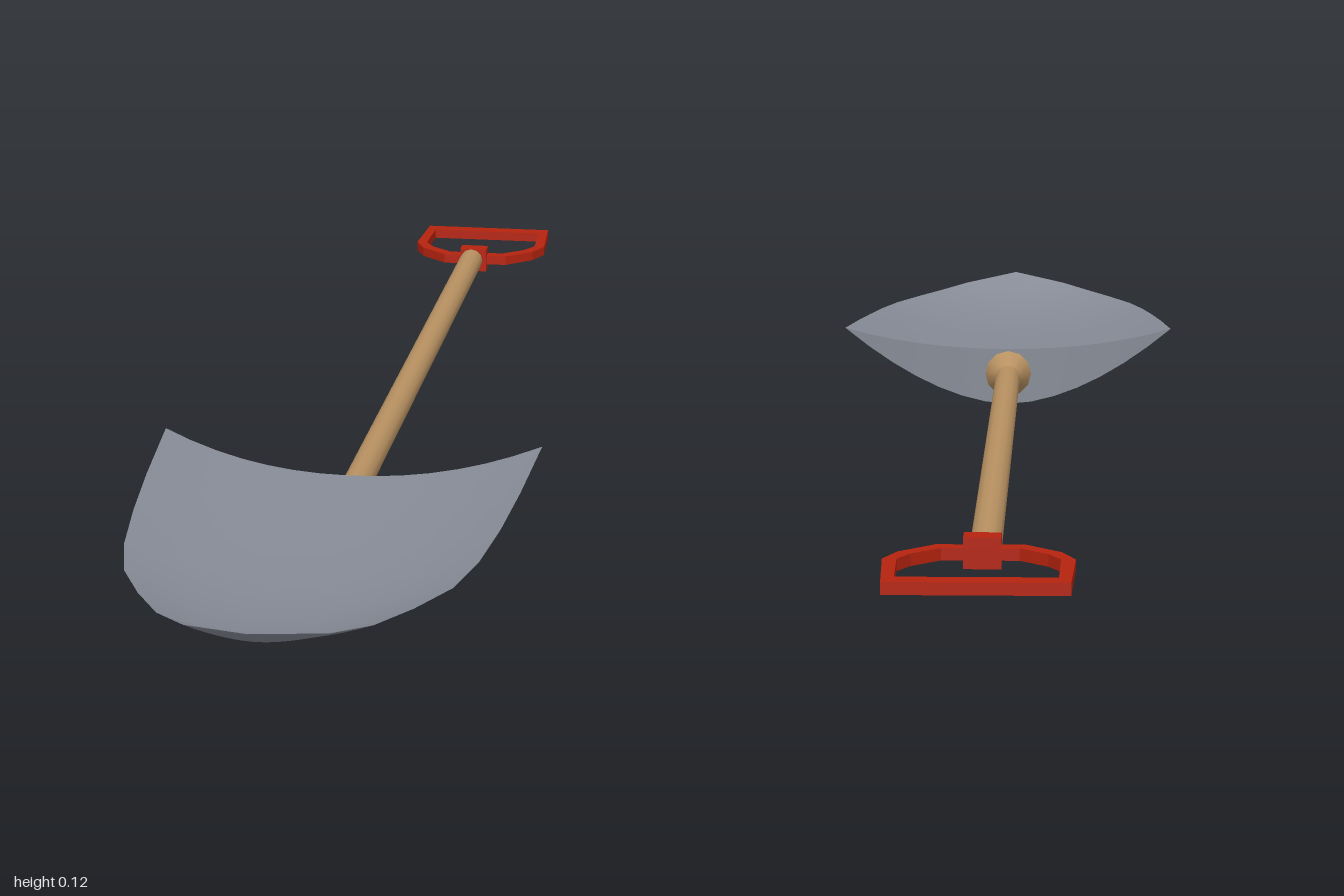
import * as THREE from 'three';

const steel = new THREE.MeshStandardMaterial({ name: 'steel grey', color: 0x868b96 });
const wood = new THREE.MeshStandardMaterial({ name: 'ash wood', color: 0xb99262 });
const red = new THREE.MeshStandardMaterial({ name: 'grip red', color: 0xb5230f });

function addMesh(parent, name, geometry, material) {
  const mesh = new THREE.Mesh(geometry, material);
  mesh.name = name;
  parent.add(mesh);
  return mesh;
}

// Smooth sheet of rows x columns; point(i, j) returns [x, y, z]
function sheet(rows, cols, point, flip = false) {
  const positions = [], index = [];
  for (let i = 0; i <= rows; i++) {
    for (let j = 0; j <= cols; j++) positions.push(...point(i, j));
  }
  for (let i = 0; i < rows; i++) {
    for (let j = 0; j < cols; j++) {
      const a = i * (cols + 1) + j, c = a + 1, b = a + cols + 1, d = b + 1;
      if (flip) index.push(a, c, b, c, d, b);
      else index.push(a, b, c, c, b, d);
    }
  }
  const geometry = new THREE.BufferGeometry();
  geometry.setAttribute('position', new THREE.Float32BufferAttribute(positions, 3));
  geometry.setIndex(index);
  geometry.computeVertexNormals();
  return geometry;
}

// Blade stations: z, rim sweep in z, half width, rim y, underside y, upper y
const stations = [
  [0.38, -0.04, 0.24, 0.12, 0, 0.083],
  [0.5, -0.01, 0.23, 0.11, 0.028, 0.075],
  [0.6, 0, 0.22, 0.103, 0.05, 0.07],
  [0.7, 0, 0.207, 0.098, 0.054, 0.066],
  [0.78, 0, 0.188, 0.096, 0.057, 0.067],
  [0.85, 0, 0.155, 0.097, 0.065, 0.074],
  [0.91, 0, 0.12, 0.099, 0.075, 0.083],
  [0.955, 0, 0.08, 0.105, 0.09, 0.096],
  [1, 0, 0, 0.117, 0.117, 0.117],
];

function createBlade() {
  const blade = new THREE.Group();
  blade.name = 'blade';
  const rows = stations.length - 1, cols = 14;
  const point = (i, j, upper) => {
    const [z, sweep, w, rim, low, high] = stations[i];
    const t = (2 * j) / cols - 1, centre = upper ? high : low;
    const rise = Math.pow(Math.abs(t), upper ? 2.2 : 1.8);
    return [w * t, centre + (rim - centre) * rise, z + sweep * t * t];
  };
  addMesh(blade, 'bladeTop', sheet(rows, cols, (i, j) => point(i, j, true)), steel);
  addMesh(blade, 'bladeUnderside', sheet(rows, cols, (i, j) => point(i, j, false), true), steel);
  addMesh(blade, 'bladeBack', sheet(1, cols, (i, j) => point(0, j, i === 1)), steel);
  return blade;
}

// Outline in x and -z, laid flat as a D
function outline(PathType, points) {
  return new PathType(points.map(([x, y]) => new THREE.Vector2(x, y)));
}

function createGrip() {
  const grip = new THREE.Group();
  grip.name = 'grip';
  const shape = outline(THREE.Shape, [
    [-0.095, 1], [-0.1, 0.89], [-0.085, 0.855], [-0.045, 0.818],
    [0.055, 0.818], [0.095, 0.855], [0.11, 0.89], [0.105, 1],
  ]);
  shape.holes.push(outline(THREE.Path, [
    [-0.082, 0.975], [0.092, 0.975], [0.094, 0.89], [0.08, 0.865],
    [0.048, 0.837], [-0.038, 0.837], [-0.07, 0.865], [-0.084, 0.89],
  ]));
  const hoop = new THREE.ExtrudeGeometry(shape, { depth: 0.014, bevelEnabled: false });
  hoop.rotateX(-Math.PI / 2);
  addMesh(grip, 'gripHoop', hoop, red).position.y = 0.039;
  // Collar around the shaft end
  addMesh(grip, 'gripCollar', new THREE.BoxGeometry(0.042, 0.036, 0.026), red).position.set(0.003, 0.047, -0.823);
  return grip;
}

export function createModel() {
  const shovel = new THREE.Group();
  shovel.name = 'shovel';
  shovel.add(createBlade(), createGrip());

  // Wooden shaft, flared where it meets the blade
  const profile = [[0, -0.815], [0.018, -0.815], [0.018, 0.335], [0.034, 0.372], [0.03, 0.385], [0, 0.385]];
  for (let k = 0; k < profile.length - 1; k++) {
    const [[r0, z0], [r1, z1]] = [profile[k], profile[k + 1]];
    const geometry = new THREE.LatheGeometry([new THREE.Vector2(r0, z0), new THREE.Vector2(r1, z1)], 12);
    geometry.rotateX(Math.PI / 2);
    const names = ['shaftEnd', 'shaft', 'shaftFlare', 'socketRim', 'socketEnd'];
    addMesh(shovel, names[k], geometry, wood).position.y = 0.047;
  }
  return shovel;
}
